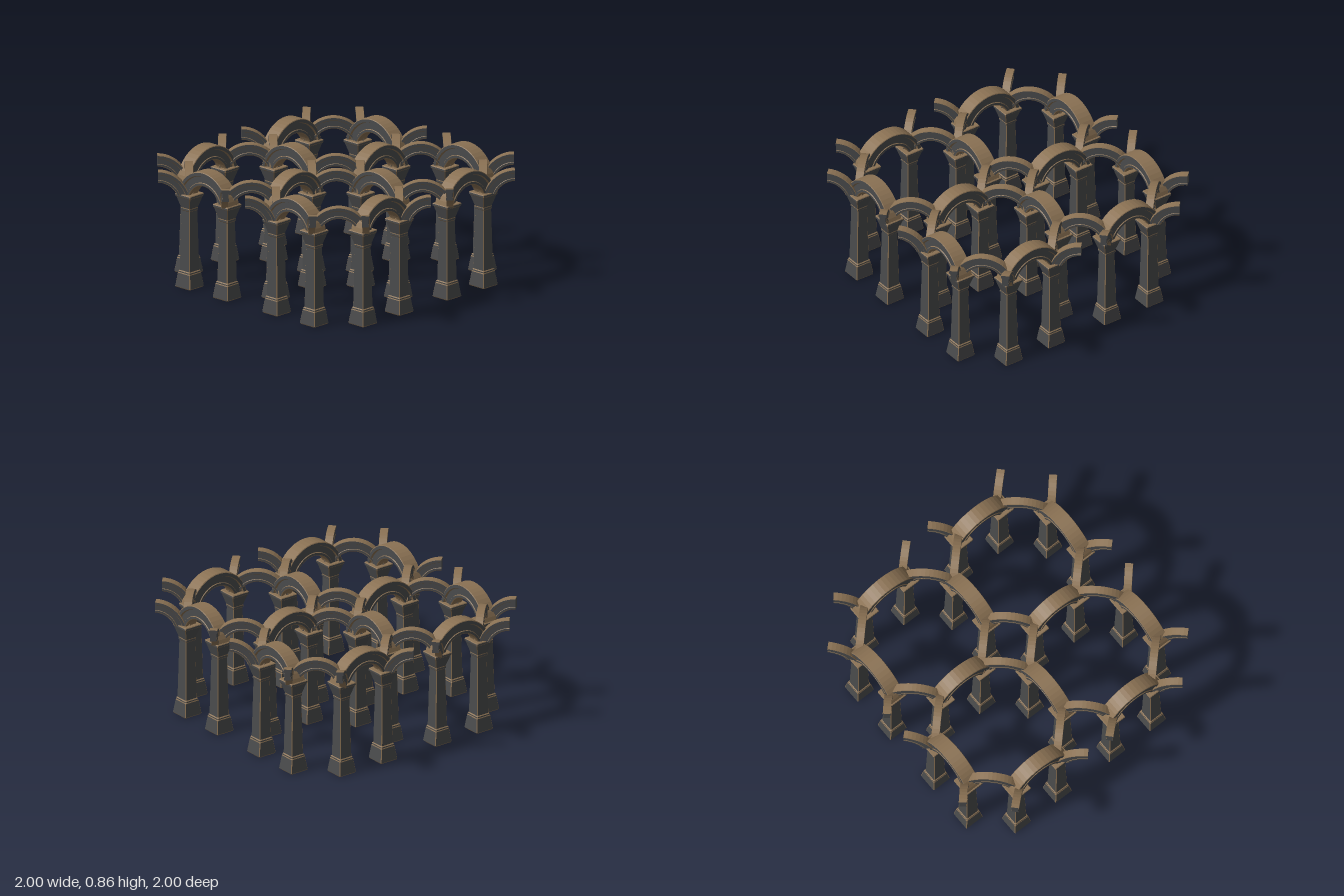
import * as THREE from 'three';

const stone = new THREE.MeshStandardMaterial({ color: 0x4a4b4c });
stone.name = 'dark stone';
const trim = new THREE.MeshStandardMaterial({ color: 0x8a7153 });
trim.name = 'tan trim';
const materials = [stone, trim];

// Joins rings of points into a closed, flat-shaded solid; pick(ring, side) gives 0 stone or 1 trim
function loft(rings, pick, startCap, endCap) {
  const buckets = [[], []];
  const tri = (m, a, b, c) => buckets[m].push(...a, ...b, ...c);
  const n = rings[0].length;
  for (let i = 0; i < rings.length - 1; i++) {
    for (let j = 0; j < n; j++) {
      const k = (j + 1) % n;
      const m = pick(i, j);
      tri(m, rings[i][j], rings[i][k], rings[i + 1][k]);
      tri(m, rings[i][j], rings[i + 1][k], rings[i + 1][j]);
    }
  }
  const cap = (ring, m, flip) => {
    const mid = [0, 1, 2].map((d) => ring.reduce((s, p) => s + p[d], 0) / n);
    for (let j = 0; j < n; j++) {
      const a = ring[j], b = ring[(j + 1) % n];
      if (flip) tri(m, mid, b, a);
      else tri(m, mid, a, b);
    }
  };
  cap(rings[0], startCap, true);
  cap(rings[rings.length - 1], endCap, false);
  const g = new THREE.BufferGeometry();
  g.setAttribute('position', new THREE.Float32BufferAttribute([...buckets[0], ...buckets[1]], 3));
  const split = buckets[0].length / 3;
  g.addGroup(0, split, 0);
  g.addGroup(split, buckets[1].length / 3, 1);
  g.computeVertexNormals();
  return g;
}

// Square column with chamfered corners: [height, half width, colour of the band above]
function columnGeometry() {
  const levels = [
    [0, 0.067, 1], [0.006, 0.071, 0], [0.1, 0.058, 1], [0.106, 0.055, 0], [0.114, 0.055, 1],
    [0.12, 0.049, 0], [0.545, 0.04, 1], [0.55, 0.044, 0], [0.562, 0.044, 1],
    [0.567, 0.043, 0], [0.645, 0.066, 1], [0.65, 0.071, 0], [0.662, 0.071, 1], [0.667, 0.067, 1],
  ];
  const rings = levels.map(([y, h]) => {
    const c = h - 0.005;
    return [[h, c], [h, -c], [c, -h], [-c, -h], [-h, -c], [-h, c], [-c, h], [c, h]]
      .map(([x, z]) => [x, y, z]);
  });
  return loft(rings, (i, j) => (j % 2 ? 1 : levels[i][2]), 1, 1);
}

// Moulded arch: [position from inner to outer edge, share of half width, colour of the next face]
const MOULDING = [
  [0, 0.78, 1], [0.05, 0.84, 0], [0.2, 0.84, 1], [0.24, 0.75, 0],
  [0.68, 0.75, 1], [0.74, 1, 0], [0.95, 1, 1], [1, 0.94, 1],
];
function archGeometry(inner, outer, halfWidth, half) {
  const centreY = 0.6, footY = 0.66, steps = half ? 10 : 20;
  const n = MOULDING.length;
  const back = MOULDING.map(([t, w]) => [t, -w]).reverse();
  const section = [...MOULDING, ...back];
  const colours = MOULDING.map((p) => p[2]);
  const sideColours = [...colours, ...colours.slice(0, n - 1).reverse(), 1];
  const rings = [];
  for (let i = 0; i <= steps; i++) {
    rings.push(section.map(([t, w]) => {
      const r = inner + (outer - inner) * t;
      const start = Math.asin((footY - centreY) / r);
      const end = half ? Math.PI / 2 : Math.PI - start;
      const a = start + ((end - start) * i) / steps;
      return [0.95 * r * Math.cos(a), centreY + r * Math.sin(a), w * halfWidth];
    }));
  }
  return loft(rings, (i, j) => sideColours[j], 1, half ? 0 : 1);
}

export function createModel() {
  const model = new THREE.Group();
  model.name = 'arcade';
  const columnGeo = columnGeometry();
  const wideGeo = archGeometry(0.16, 0.26, 0.055, false);
  const narrowGeo = archGeometry(0.15, 0.23, 0.028, false);
  const halfGeo = archGeometry(0.15, 0.23, 0.028, true);

  const add = (name, geo, x, z, angle = 0) => {
    const mesh = new THREE.Mesh(geo, materials);
    mesh.name = name;
    mesh.position.set(x, 0, z);
    mesh.rotation.y = angle;
    model.add(mesh);
  };

  const cell = 0.41, reach = 0.177;
  for (const swap of [false, true]) {
    // Runs along x, then the same runs along z
    const place = (name, geo, along, across, angle) =>
      add(name, geo, swap ? across : along, swap ? along : across, angle);
    for (const row of [-1, 0, 1]) {
      for (const c of [-cell, cell]) {
        place('wideArch', wideGeo, c, row * 0.82, swap ? Math.PI / 2 : 0);
        for (const s of [-1, 1]) {
          place('column', columnGeo, c + s * reach, row * 0.82, 0);
          if (row === 0) continue;
          // Broken half arches reaching outward from the outer columns
          const du = -s * 0.158, dv = -row * 0.145;
          const angle = swap ? Math.atan2(-du, dv) : Math.atan2(-dv, du);
          place('halfArch', halfGeo, c + s * 0.318, row * 0.98, angle);
        }
      }
    }
  }

  // Narrow diagonal arches closing each octagon
  for (const cx of [-cell, cell]) for (const cz of [-cell, cell]) {
    for (const sx of [-1, 1]) for (const sz of [-1, 1]) {
      add('diagonalArch', narrowGeo, cx + sx * 0.294, cz + sz * 0.294, (sx * sz * Math.PI) / 4);
    }
  }
  return model;
}
